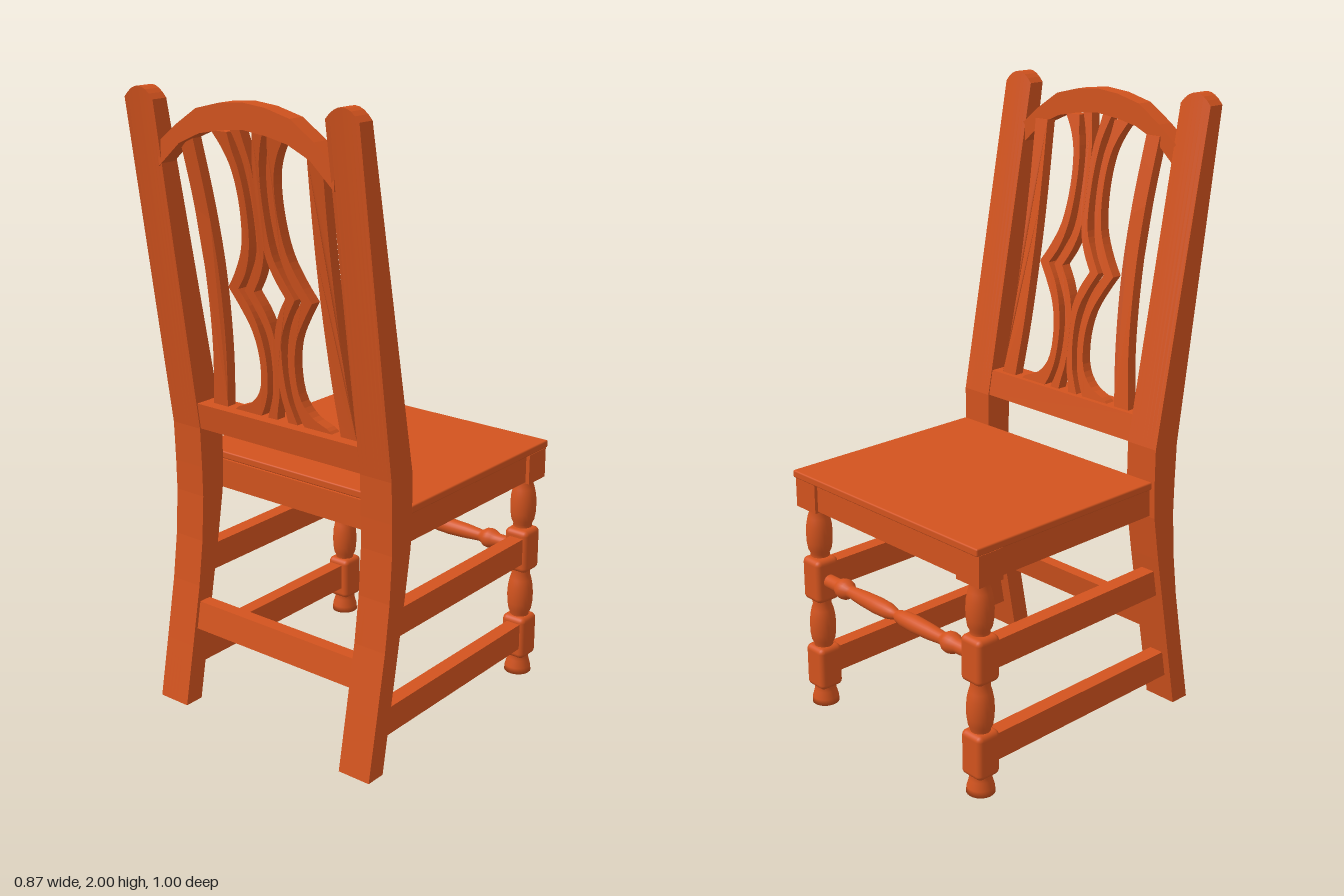
import * as THREE from 'three';
import { RoundedBoxGeometry } from 'three/addons/geometries/RoundedBoxGeometry.js';

const wood = new THREE.MeshStandardMaterial({ color: 0xd2531e });

// Side profile of the rear posts: [y, inner z, outer z]
const POST = [
  [0, 0.382, 0.45], [0.2, 0.345, 0.412], [0.4, 0.308, 0.375], [0.55, 0.28, 0.355],
  [0.7, 0.255, 0.345], [0.8, 0.25, 0.346], [0.93, 0.25, 0.35], [2, 0.445, 0.5],
];

function postZ(y) {
  let i = 0;
  while (i < POST.length - 2 && y > POST[i + 1][0]) i++;
  const [a, b] = [POST[i], POST[i + 1]];
  const t = (y - a[0]) / (b[0] - a[0]);
  return [a[1] + (b[1] - a[1]) * t, a[2] + (b[2] - a[2]) * t];
}

// Moves every vertex by rule(Vector3), then renews flat normals
function reshape(geometry, rule) {
  const g = geometry.index ? geometry.toNonIndexed() : geometry;
  const p = g.attributes.position;
  const v = new THREE.Vector3();
  for (let i = 0; i < p.count; i++) {
    rule(v.fromBufferAttribute(p, i));
    p.setXYZ(i, v.x, v.y, v.z);
  }
  g.computeVertexNormals();
  return g;
}

export function createModel() {
  const chair = new THREE.Group();
  chair.name = 'chair';

  const add = (name, geometry, x = 0, y = 0, z = 0, parent = chair) => {
    const mesh = new THREE.Mesh(geometry, wood);
    mesh.name = name;
    mesh.position.set(x, y, z);
    parent.add(mesh);
    return mesh;
  };
  // Box given by its limits
  const box = (name, x0, x1, y0, y1, z0, z1) =>
    add(name, new THREE.BoxGeometry(x1 - x0, y1 - y0, z1 - z0), (x0 + x1) / 2, (y0 + y1) / 2, (z0 + z1) / 2);

  // Rear posts: swept legs and raked back, with rounded tops
  const rows = POST.length - 1;
  for (const s of [-1, 1]) {
    const g = reshape(new THREE.BoxGeometry(1, 1, 1, 8, rows, 1), (v) => {
      const [y, inner, outer] = POST[Math.round((v.y + 0.5) * rows)];
      const crown = y === 2 ? 0.035 * (2 * v.x) ** 2 : 0;
      v.set(s * 0.3775 + v.x * 0.115, y - crown, v.z < 0 ? inner : outer);
    });
    add(s > 0 ? 'rearPostLeft' : 'rearPostRight', g);
  }

  // Cross rails that lean with the posts
  const leaningRail = (name, y0, y1, inset) => add(name, reshape(new THREE.BoxGeometry(0.66, 1, 1), (v) => {
    v.y = v.y < 0 ? y0 : y1;
    const [inner, outer] = postZ(v.y);
    v.z = v.z < 0 ? inner + inset : outer - inset;
  }));
  leaningRail('lowerBackRail', 0.93, 1.015, 0.004);
  leaningRail('rearStretcher', 0.255, 0.345, 0.012);

  // Arched crest rail
  const half = [[0.33, 1.84], [0.26, 1.895], [0.175, 1.95], [0.085, 1.972], [0, 1.98]];
  const under = [[0, 1.905], [0.09, 1.895], [0.165, 1.88], [0.245, 1.845], [0.33, 1.77]];
  const mirror = (pts) => pts.map(([x, y]) => [-x, y]).reverse();
  const outline = [...half, ...mirror(half).slice(1), ...mirror(under), ...under.slice(1)];
  const crest = new THREE.ExtrudeGeometry(
    new THREE.Shape(outline.map(([x, y]) => new THREE.Vector2(x, y))), { depth: 0.055, bevelEnabled: false });
  add('crestRail', crest, 0, 0, 0.42);

  // Back fretwork: ribbons from keys [y, centre x, width], raked and slightly bowed
  const ribbon = (name, keys, side, parent) => {
    const curve = new THREE.CatmullRomCurve3(keys.map(([y, x, w]) => new THREE.Vector3(x * side, y, w / 2)));
    const pts = curve.getPoints(24);
    const shape = new THREE.Shape([
      ...pts.map((p) => new THREE.Vector2(p.x - p.z, p.y)),
      ...pts.map((p) => new THREE.Vector2(p.x + p.z, p.y)).reverse(),
    ]);
    const g = reshape(new THREE.ExtrudeGeometry(shape, { depth: 0.035, bevelEnabled: false }), (v) => {
      const t = (v.y - 1) / 0.9;
      v.z += 0.284 + 0.14 * t - 0.012 * Math.sin(Math.PI * THREE.MathUtils.clamp(t, 0, 1));
    });
    add(name, g, 0, 0, 0, parent);
  };
  const fret = new THREE.Group();
  fret.name = 'backFretwork';
  chair.add(fret);
  for (const s of [-1, 1]) {
    ribbon('sideSlat', [[1.0, -0.257, 0.06], [1.2, -0.233, 0.055], [1.45, -0.222, 0.055],
      [1.65, -0.226, 0.054], [1.86, -0.24, 0.054]], s, fret);
    ribbon('outerStrandUpper', [[1.415, 0.142, 0.04], [1.47, 0.105, 0.04], [1.55, 0.072, 0.03],
      [1.67, 0.058, 0.026], [1.78, 0.066, 0.028], [1.84, 0.085, 0.036], [1.89, 0.105, 0.06]], s, fret);
    ribbon('outerStrandLower', [[1.415, 0.142, 0.04], [1.36, 0.105, 0.04], [1.29, 0.072, 0.03],
      [1.2, 0.056, 0.026], [1.1, 0.066, 0.03], [1.05, 0.095, 0.055], [1.025, 0.13, 0.1], [1.0, 0.15, 0.11]], s, fret);
    ribbon('innerStrandUpper', [[1.415, 0.079, 0.036], [1.47, 0.045, 0.036], [1.54, 0.016, 0.028],
      [1.67, 0.009, 0.022], [1.8, 0.016, 0.026], [1.86, 0.03, 0.03], [1.91, 0.045, 0.04]], s, fret);
    ribbon('innerStrandLower', [[1.415, 0.079, 0.036], [1.36, 0.045, 0.036], [1.29, 0.016, 0.028],
      [1.2, 0.009, 0.022], [1.1, 0.016, 0.026], [1.05, 0.03, 0.03], [1.0, 0.045, 0.04]], s, fret);
  }

  // Seat board and aprons
  add('seat', new RoundedBoxGeometry(0.86, 0.025, 0.745, 2, 0.005), 0, 0.8125, -0.1275);
  box('frontApron', -0.34, 0.34, 0.705, 0.8, -0.48, -0.42);
  box('rearApron', -0.36, 0.36, 0.705, 0.8, 0.19, 0.25);
  for (const s of [-1, 1]) {
    const x = s * 0.385;
    box('sideApron', x - 0.03, x + 0.03, 0.705, 0.8, -0.4, 0.27);
    box('upperSideStretcher', x - 0.025, x + 0.025, 0.41, 0.5, -0.43, 0.32);
    box('lowerSideStretcher', x - 0.025, x + 0.025, 0.1, 0.19, -0.43, 0.365);
  }

  // Front legs: turned sections between squared blocks
  const turned = (pts) => new THREE.LatheGeometry(pts.map(([r, y]) => new THREE.Vector2(r, y)), 24);
  const vase = (y) => [[0.031, y], [0.031, y + 0.01], [0.038, y + 0.025], [0.042, y + 0.05], [0.043, y + 0.08],
    [0.041, y + 0.11], [0.036, y + 0.135], [0.031, y + 0.15], [0.031, y + 0.17]];
  const foot = [[0, 0], [0.045, 0], [0.043, 0.02], [0.036, 0.045], [0.034, 0.06], [0.036, 0.08]];
  for (const s of [-1, 1]) {
    const leg = new THREE.Group();
    leg.name = s > 0 ? 'frontLegLeft' : 'frontLegRight';
    leg.position.set(s * 0.38, 0, -0.443);
    chair.add(leg);
    add('foot', turned(foot), 0, 0, 0, leg);
    add('lowerBlock', new RoundedBoxGeometry(0.088, 0.15, 0.088, 3, 0.018), 0, 0.135, 0, leg);
    add('lowerTurning', turned(vase(0.205)), 0, 0, 0, leg);
    add('middleBlock', new RoundedBoxGeometry(0.088, 0.15, 0.088, 3, 0.018), 0, 0.45, 0, leg);
    add('upperTurning', turned(vase(0.53)), 0, 0, 0, leg);
    add('topBlock', new THREE.BoxGeometry(0.096, 0.1, 0.096), 0, 0.75, 0, leg);
  }

  // Turned front stretcher with a waist in the middle and a bead near each end
  const arm = [[0.014, 0], [0.02, 0.012], [0.026, 0.04], [0.028, 0.09], [0.025, 0.16], [0.02, 0.215], [0.022, 0.225],
    [0.032, 0.24], [0.034, 0.255], [0.031, 0.27], [0.023, 0.285], [0.022, 0.36]];
  const stretcher = add('frontStretcher',
    turned([...arm.map(([r, y]) => [r, -y]).reverse(), ...arm.slice(1)]), 0, 0.45, -0.443);
  stretcher.rotation.z = Math.PI / 2;

  return chair;
}
